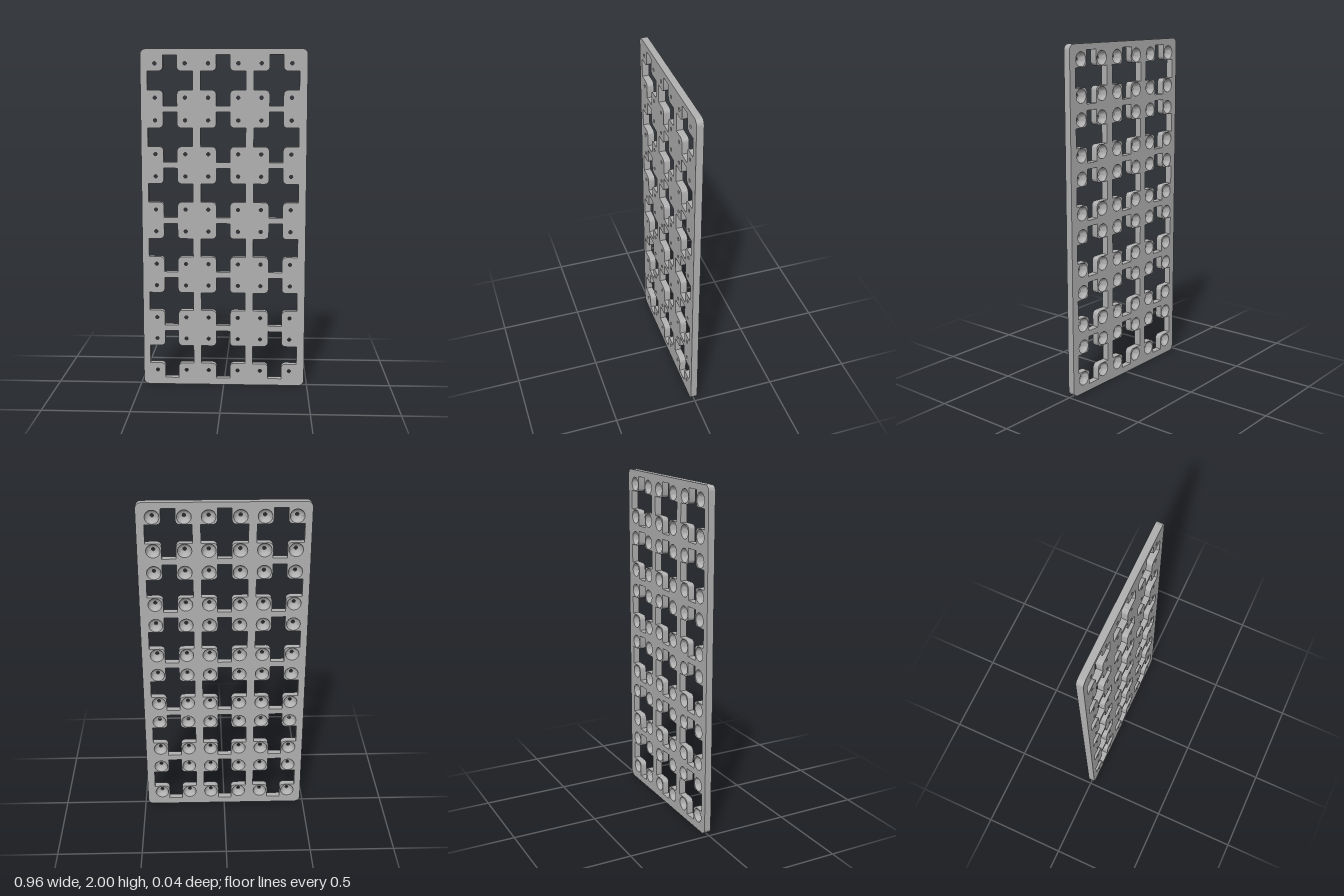
import * as THREE from 'three';
import { toCreasedNormals } from 'three/addons/utils/BufferGeometryUtils.js';

const W = 0.482, H = 2, Z = 0.02;            // half width, height, half thickness
const PITCH_X = 0.3085, PITCH_Y = 0.3265, MID_X = -0.003, MID_Y = 1.003;
const PIN_R = 0.01, CUP_R = 0.04, CUP_DEPTH = 0.034;

const V = (x, y) => new THREE.Vector2(x, y);

// points along a circular arc, both ends included
function arc(cx, cy, r, from, to, n) {
  return Array.from({ length: n + 1 }, (_, i) => {
    const t = from + ((to - from) * i) / n;
    return V(cx + r * Math.cos(t), cy + r * Math.sin(t));
  });
}

// plate outline, counter-clockwise
function plateOutline(r = 0.033) {
  const q = Math.PI / 2;
  return [
    ...arc(W - r, r, r, -q, 0, 8), ...arc(W - r, H - r, r, 0, q, 8),
    ...arc(-W + r, H - r, r, q, 2 * q, 8), ...arc(-W + r, r, r, 2 * q, 3 * q, 8),
  ];
}

// cross-shaped window with rounded inner corners, clockwise
function crossWindow(cx, cy) {
  const a = 0.04, A = 0.131, b = 0.0545, B = 0.146, r = 0.025;
  const quarter = [V(A, b), ...arc(a + r, b + r, r, -Math.PI / 2, -Math.PI, 6), V(a, B)];
  const flip = (sx, sy) => quarter.map((p) => V(p.x * sx, p.y * sy));
  return [...flip(1, 1), ...flip(-1, 1).reverse(), ...flip(-1, -1), ...flip(1, -1).reverse()]
    .map((p) => V(p.x + cx, p.y + cy)).reverse();
}

// wall through the thickness along a closed outline
function wall(points) {
  const pos = [];
  points.forEach((p, i) => {
    const q = points[(i + 1) % points.length];
    pos.push(p.x, p.y, -Z, q.x, q.y, -Z, q.x, q.y, Z, p.x, p.y, -Z, q.x, q.y, Z, p.x, p.y, Z);
  });
  const g = new THREE.BufferGeometry();
  g.setAttribute('position', new THREE.Float32BufferAttribute(pos, 3));
  return toCreasedNormals(g, 0.6);
}

// flat face with the windows and one round hole per pin
function face(outline, windows, pins, radius, mirror) {
  const m = mirror ? -1 : 1;
  const map = (pts) => pts.map((p) => V(p.x * m, p.y));
  const shape = new THREE.Shape(map(outline));
  shape.holes = [
    ...windows.map((w) => new THREE.Path(map(w))),
    ...pins.map((p) => new THREE.Path(map(arc(p.x, p.y, radius, 0, -2 * Math.PI, 24).slice(0, 24)))),
  ];
  return new THREE.ShapeGeometry(shape);
}

export function createModel() {
  const group = new THREE.Group();
  const grey = new THREE.MeshStandardMaterial({ color: 0xb0b0b0 });
  grey.name = 'grey';
  const add = (name, geometry) => {
    const mesh = new THREE.Mesh(geometry, grey);
    mesh.name = name;
    group.add(mesh);
    return mesh;
  };

  // grid of windows, with four pin positions around each
  const windows = [], pins = [];
  for (let row = 0; row < 6; row++) {
    for (let col = 0; col < 3; col++) {
      const x = MID_X + (col - 1) * PITCH_X, y = MID_Y + (row - 2.5) * PITCH_Y;
      windows.push(crossWindow(x, y));
      for (const sx of [-1, 1]) for (const sy of [-1, 1]) pins.push(V(x + sx * 0.0873, y + sy * 0.098));
    }
  }

  // plate
  const outline = plateOutline();
  add('frontFace', face(outline, windows, pins, PIN_R, false)).position.z = Z;
  const back = add('backFace', face(outline, windows, pins, CUP_R, true));
  back.rotation.y = Math.PI;
  back.position.z = -Z;
  add('outerEdge', wall(outline));
  windows.forEach((w) => add('windowEdge', wall(w)));

  // round cup sunk into the back, with a small hole through to the front
  const profile = [V(PIN_R, Z)];
  const start = Math.asin(PIN_R / CUP_R);
  for (let i = 0; i <= 8; i++) {
    const t = start + ((Math.PI / 2 - start) * i) / 8;
    profile.push(V(CUP_R * Math.sin(t), -Z + CUP_DEPTH * Math.cos(t)));
  }
  const cup = toCreasedNormals(new THREE.LatheGeometry(profile, 24).rotateX(Math.PI / 2), 0.7);
  pins.forEach((p) => add('cup', cup).position.set(p.x, p.y, 0));

  return group;
}
